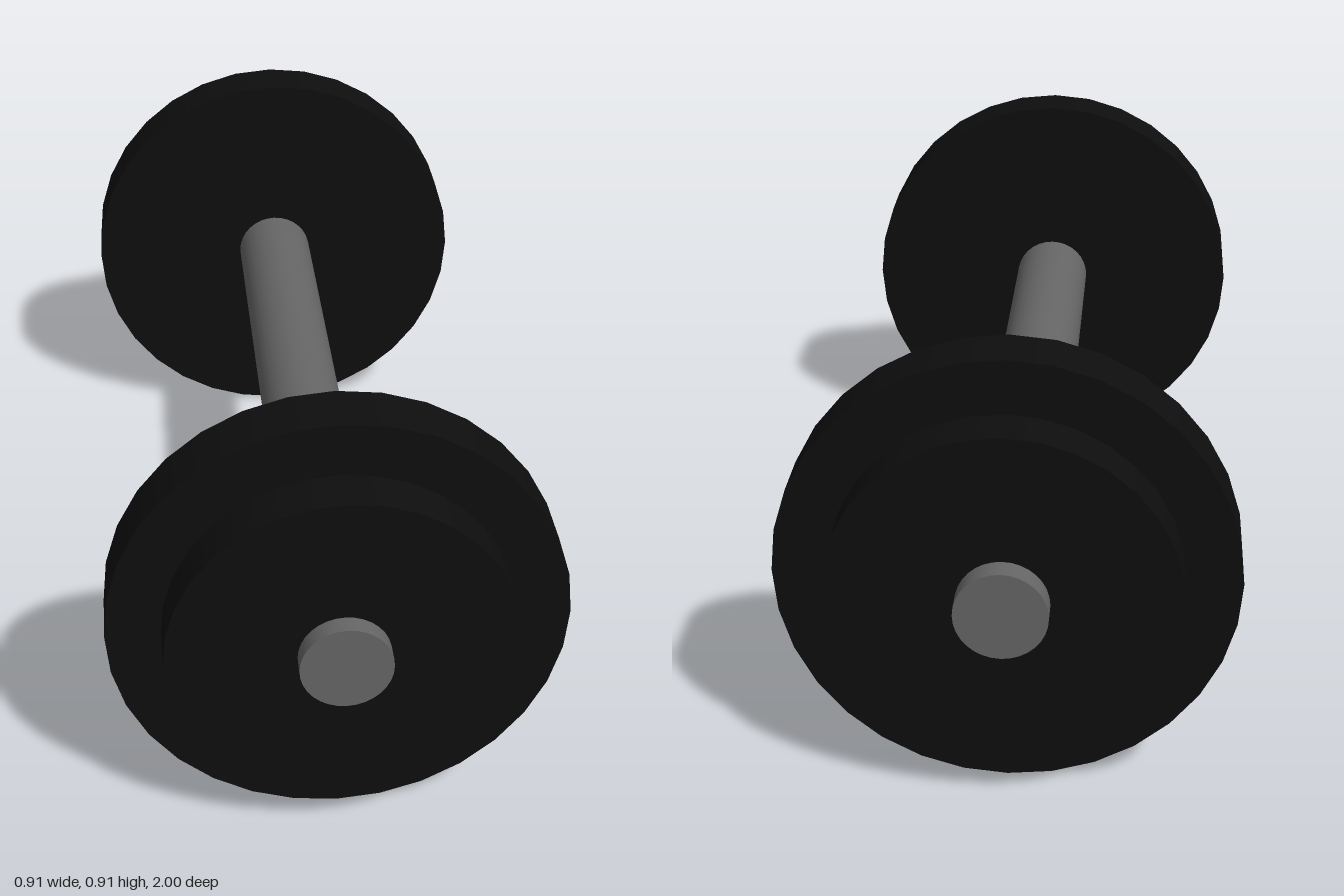
import * as THREE from 'three';

const AXIS_Y = 0.453;
const SIDES = 32;

export function createModel() {
  const group = new THREE.Group();
  group.name = 'dumbbell';

  const steel = new THREE.MeshStandardMaterial({ color: 0x666666 });
  steel.name = 'grey steel';
  const iron = new THREE.MeshStandardMaterial({ color: 0x0e0e0e });
  iron.name = 'black iron';

  // Solid disc or rod lying along z between two depths
  function addCylinder(name, radius, z0, z1, material) {
    const geometry = new THREE.CylinderGeometry(radius, radius, z1 - z0, SIDES);
    geometry.rotateX(Math.PI / 2);
    const mesh = new THREE.Mesh(geometry, material);
    mesh.name = name;
    mesh.position.set(0, AXIS_Y, (z0 + z1) / 2);
    group.add(mesh);
  }

  // Handle bar, running through both weights
  addCylinder('handleBar', 0.09, -1, 1, steel);

  // Front weight: large inner plate, smaller outer plate
  addCylinder('frontLargePlate', 0.453, 0.743, 0.862, iron);
  addCylinder('frontSmallPlate', 0.344, 0.862, 0.96, iron);

  // Back weight
  addCylinder('backLargePlate', 0.453, -0.853, -0.734, iron);
  addCylinder('backSmallPlate', 0.344, -0.952, -0.853, iron);

  return group;
}
